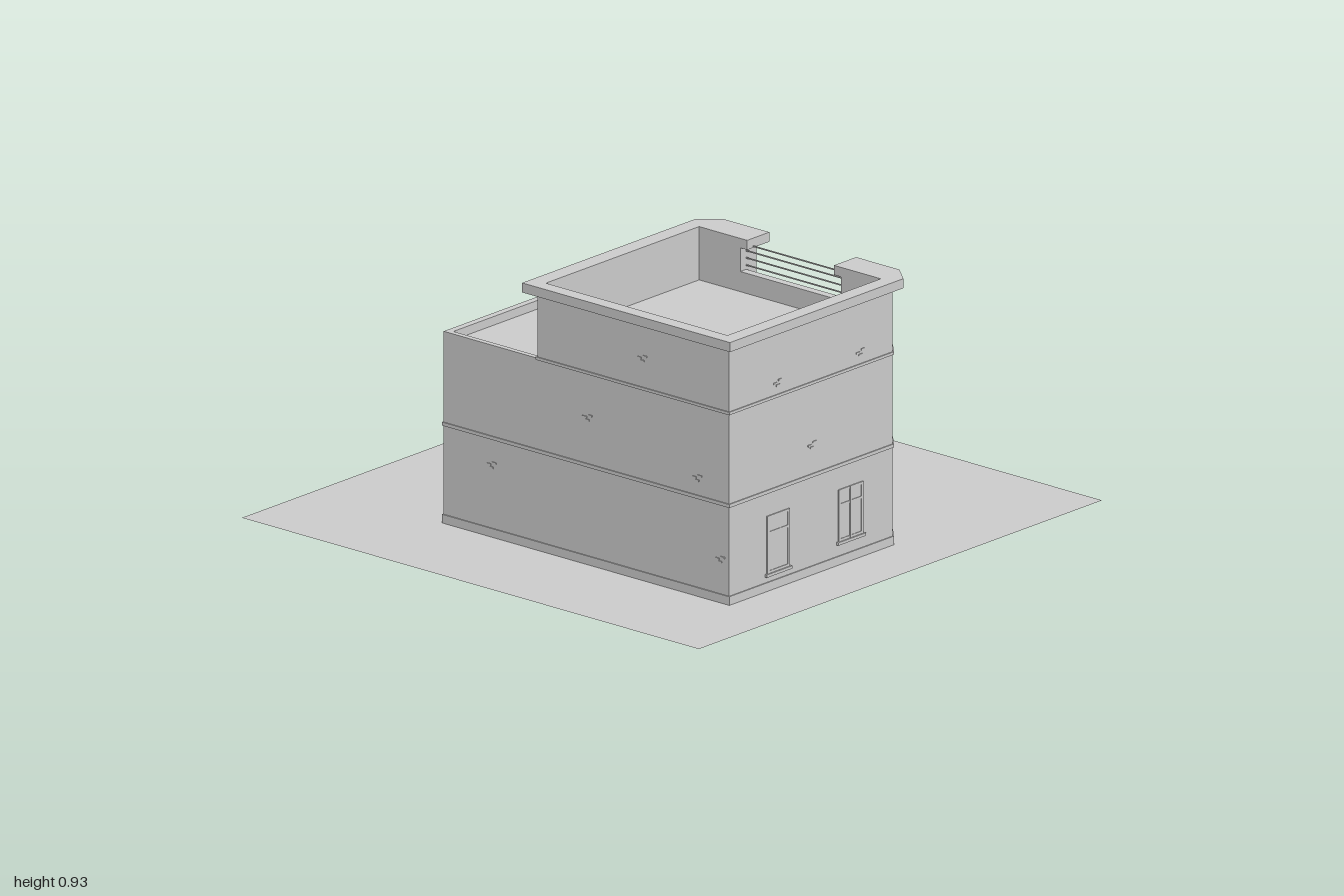
import * as THREE from 'three';

const mat = new THREE.MeshStandardMaterial({ color: 0xcccccc, flatShading: true, side: THREE.DoubleSide });
const BACK = Math.PI, WEST = -Math.PI / 2, EAST = Math.PI / 2;

export function createModel() {
  const root = new THREE.Group();

  const add = (name, geo, parent = root) => {
    const m = new THREE.Mesh(geo, mat);
    m.name = name;
    parent.add(m);
    return m;
  };
  // box given by its limits
  const box = (name, x0, x1, y0, y1, z0, z1, parent = root) => {
    const g = new THREE.BoxGeometry(x1 - x0, y1 - y0, z1 - z0);
    g.translate((x0 + x1) / 2, (y0 + y1) / 2, (z0 + z1) / 2);
    return add(name, g, parent);
  };
  // upright prism over a plan of [x, z] points, with an optional hole
  const prism = (name, plan, y0, y1, hole) => {
    const pts = (p) => p.map(([x, z]) => new THREE.Vector2(x, -z));
    const s = new THREE.Shape(pts(plan));
    if (hole) s.holes.push(new THREE.Path(pts(hole)));
    const g = new THREE.ExtrudeGeometry(s, { depth: y1 - y0, bevelEnabled: false });
    g.rotateX(-Math.PI / 2).translate(0, y0, 0);
    return add(name, g);
  };
  const rect = (x0, x1, z0, z1) => [[x0, z0], [x1, z0], [x1, z1], [x0, z1]];
  // group on a wall, its local +z pointing outward
  const onWall = (name, x, y, z, turn) => {
    const g = new THREE.Group();
    g.name = name;
    g.position.set(x, y, z);
    g.rotation.y = turn;
    root.add(g);
    return g;
  };
  // framed window or door: y is the bottom edge, bar is the height share of the crossbar
  const opening = (name, x, y, z, turn, w, h, { cols = 2, bar = 0.7, sill = true, out = 0.007 } = {}) => {
    const g = onWall(name, x, y, z, turn), t = 0.009;
    box('pane', -w / 2, w / 2, 0, h, -0.002, 0.002, g);
    for (let i = 0; i <= cols; i++) {
      const c = -w / 2 + t / 2 + ((w - t) * i) / cols;
      box('upright', c - t / 2, c + t / 2, 0, h, -0.002, out, g);
    }
    for (const c of [t / 2, h * bar, h - t / 2]) box('crossbar', -w / 2, w / 2, c - t / 2, c + t / 2, -0.002, out - 0.001, g);
    if (sill) box('sill', -w / 2 - 0.008, w / 2 + 0.008, -0.01, 0, -0.002, out + 0.004, g);
  };

  // Ground
  add('ground', new THREE.PlaneGeometry(2, 2).rotateX(-Math.PI / 2));

  // Main block: two chamfered corner towers with a recessed bay between
  const bay = (o) => [[0.78 + o, -0.21 - o], [0.73 + o, -0.26 - o], [0.58 - o, -0.26 - o], [0.58 - o, -0.21 - o],
    [0.14 + o, -0.21 - o], [0.14 + o, -0.26 - o], [-0.01 - o, -0.26 - o], [-0.06 - o, -0.21 - o]];
  const mainPlan = (o = 0) => [[-0.06 - o, 0.6 + o], [0.78 + o, 0.6 + o], ...bay(o)];
  const inner = [[0.755, -0.18], [0.755, 0.58], [-0.04, 0.58], [-0.04, -0.18]];
  prism('mainBlock', mainPlan(), 0, 0.74);
  prism('roofParapet', [[-0.06, 0.6], [0.78, 0.6], [0.78, -0.21], [0.73, -0.26], [0.58, -0.26], [0.58, -0.18],
    ...inner, [0.14, -0.18], [0.14, -0.26], [-0.01, -0.26], [-0.06, -0.21]], 0.74, 0.892);
  prism('cornice', [[-0.1, 0.63], [0.81, 0.63], [0.81, -0.23], [0.74, -0.29], [0.55, -0.29], [0.55, -0.18],
    ...inner, [0.17, -0.18], [0.17, -0.29], [-0.03, -0.29], [-0.1, -0.23]], 0.892, 0.925);
  box('bayParapet', 0.14, 0.58, 0.74, 0.81, -0.21, -0.18);

  // Roof railing across the bay
  for (const y of [0.825, 0.85, 0.875, 0.897]) box('roofRail', 0.14, 0.58, y - 0.002, y + 0.002, -0.212, -0.208);

  // Side wing with a shallow parapet
  prism('sideWing', rect(-0.47, -0.06, 0.06, 0.6), 0, 0.635);
  prism('wingParapet', rect(-0.47, -0.06, 0.06, 0.6), 0.635, 0.665, rect(-0.445, -0.061, 0.085, 0.58));

  // Plinth and string courses
  for (const [y0, y1] of [[0, 0.03], [0.338, 0.35], [0.66, 0.67]]) {
    prism('mainCourse', mainPlan(0.004), y0, y1);
    if (y1 < 0.6) prism('wingCourse', rect(-0.474, -0.06, 0.056, 0.604), y0, y1);
  }

  // Bay: blank sign board, canopy ledge, windows
  const sign = onWall('signBoard', 0.36, 0.735, -0.21, BACK);
  box('board', -0.17, 0.17, -0.055, 0.055, 0, 0.012, sign);
  for (const s of [-1, 1]) {
    box('boardFrame', -0.18, 0.18, s * 0.058 - 0.006, s * 0.058 + 0.006, 0, 0.02, sign);
    box('boardFrame', s * 0.175 - 0.006, s * 0.175 + 0.006, -0.058, 0.058, 0, 0.02, sign);
  }
  box('bayLedge', 0.14, 0.58, 0.638, 0.65, -0.268, -0.21);
  box('bayLedgeTrim', 0.14, 0.58, 0.615, 0.638, -0.24, -0.21);
  for (const x of [0.22, 0.45]) {
    opening('bayUpperWindow', x, 0.42, -0.21, BACK, 0.11, 0.15);
    opening('bayLowerWindow', x, 0.08, -0.21, BACK, 0.11, 0.18);
  }

  // Tower windows
  for (const x of [0.065, 0.655]) {
    opening('towerUpperWindow', x, 0.4, -0.26, BACK, 0.095, 0.2);
    opening('towerLowerWindow', x, 0.06, -0.26, BACK, 0.095, 0.21);
  }

  // Wing windows, four per floor
  for (let i = 0; i < 4; i++) {
    const z = 0.155 + i * 0.117;
    opening('wingUpperWindow', -0.47, 0.38, z, WEST, 0.095, 0.23);
    opening('wingLowerWindow', -0.47, 0.06, z, WEST, 0.095, 0.24);
  }

  // East wall openings
  opening('eastDoor', 0.78, 0.06, 0.36, EAST, 0.11, 0.2, { cols: 1, out: 0.005 });
  opening('eastWindow', 0.78, 0.08, 0.0, EAST, 0.12, 0.18, { out: 0.005 });

  // Entrance block under the terrace
  box('entranceBlock', -0.34, -0.06, 0, 0.34, -0.19, 0.06);
  box('entrancePlinth', -0.344, -0.06, 0, 0.03, -0.194, 0.06);
  opening('entranceDoor', -0.2, 0.03, -0.19, BACK, 0.19, 0.24, { cols: 2, bar: 0.8, sill: false });
  opening('entranceWindow', -0.34, 0.05, -0.065, WEST, 0.17, 0.23, { cols: 2 });

  // Terrace slab and railing
  prism('terraceSlab', [[-0.398, 0.06], [-0.398, -0.29], [-0.03, -0.29], [-0.03, -0.2], [-0.06, -0.2], [-0.06, 0.06]], 0.343, 0.36);
  for (const y of [0.385, 0.41, 0.437]) {
    box('terraceRail', -0.396, -0.03, y - 0.002, y + 0.002, -0.29, -0.286);
    box('terraceRail', -0.396, -0.392, y - 0.002, y + 0.002, -0.29, 0.06);
  }
  for (const [x, z] of [[-0.394, -0.288], [-0.213, -0.288], [-0.032, -0.288], [-0.394, -0.115], [-0.394, 0.055]])
    box('terracePost', x - 0.003, x + 0.003, 0.36, 0.44, z - 0.003, z + 0.003);

  // Terrace door, window and bench
  opening('terraceDoor', -0.17, 0.36, 0.06, BACK, 0.1, 0.2, { sill: false });
  opening('terraceWindow', -0.3, 0.42, 0.06, BACK, 0.08, 0.14);
  opening('terraceTowerWindow', -0.06, 0.42, -0.06, WEST, 0.1, 0.14);
  box('benchSeat', -0.21, -0.13, 0.39, 0.4, -0.02, 0.025);
  for (const x of [-0.205, -0.143]) box('benchLeg', x, x + 0.008, 0.36, 0.39, -0.015, 0.02);

  // Canopy above the terrace, with raised rim
  const canopy = (o) => [[-0.06, -0.185 + o], [-0.235 + o * 0.4, -0.185 + o], [-0.388 + o, -0.06 + o * 0.4], [-0.388 + o, 0.06], [-0.06, 0.06]];
  prism('canopySlab', canopy(0.012), 0.59, 0.605);
  const rim = canopy(0).slice(0, 4), rimIn = canopy(0.022).slice(0, 4).reverse();
  prism('canopyRim', [...rim, ...rimIn], 0.6, 0.622);

  // Exposed bricks on the plain walls
  const bricks = (x, y, z, turn) => {
    const g = onWall('exposedBricks', x, y, z, turn);
    for (const [u, v] of [[-0.012, 0], [0.012, 0.008], [0, -0.009]])
      box('brick', u - 0.009, u + 0.009, v - 0.003, v + 0.003, -0.002, 0.003, g);
  };
  for (const [x, y] of [[-0.26, 0.25], [0.16, 0.51], [0.4, 0.77], [0.64, 0.41], [0.74, 0.15]]) bricks(x, y, 0.6, 0);
  for (const [z, y] of [[0.36, 0.71], [-0.05, 0.71], [0.19, 0.45]]) bricks(0.78, y, z, EAST);

  // Signpost with three arrow boards
  const post = new THREE.Group();
  post.name = 'signpost';
  post.position.set(-0.605, 0, -0.68);
  root.add(post);
  add('pole', new THREE.CylinderGeometry(0.004, 0.004, 0.305, 8).translate(0, 0.1525, 0), post);
  const arrow = new THREE.Shape([[-0.06, -0.014], [0.035, -0.014], [0.062, 0], [0.035, 0.014], [-0.06, 0.014]].map((p) => new THREE.Vector2(...p)));
  for (const [y, turn, tilt] of [[0.287, Math.PI, -0.1], [0.25, -Math.PI / 2, 0], [0.213, 0, 0]]) {
    const a = add('arrowBoard', new THREE.ExtrudeGeometry(arrow, { depth: 0.005, bevelEnabled: false }).translate(0, 0, -0.0025), post);
    a.position.y = y;
    a.rotation.set(0, turn, tilt);
  }

  return root;
}
